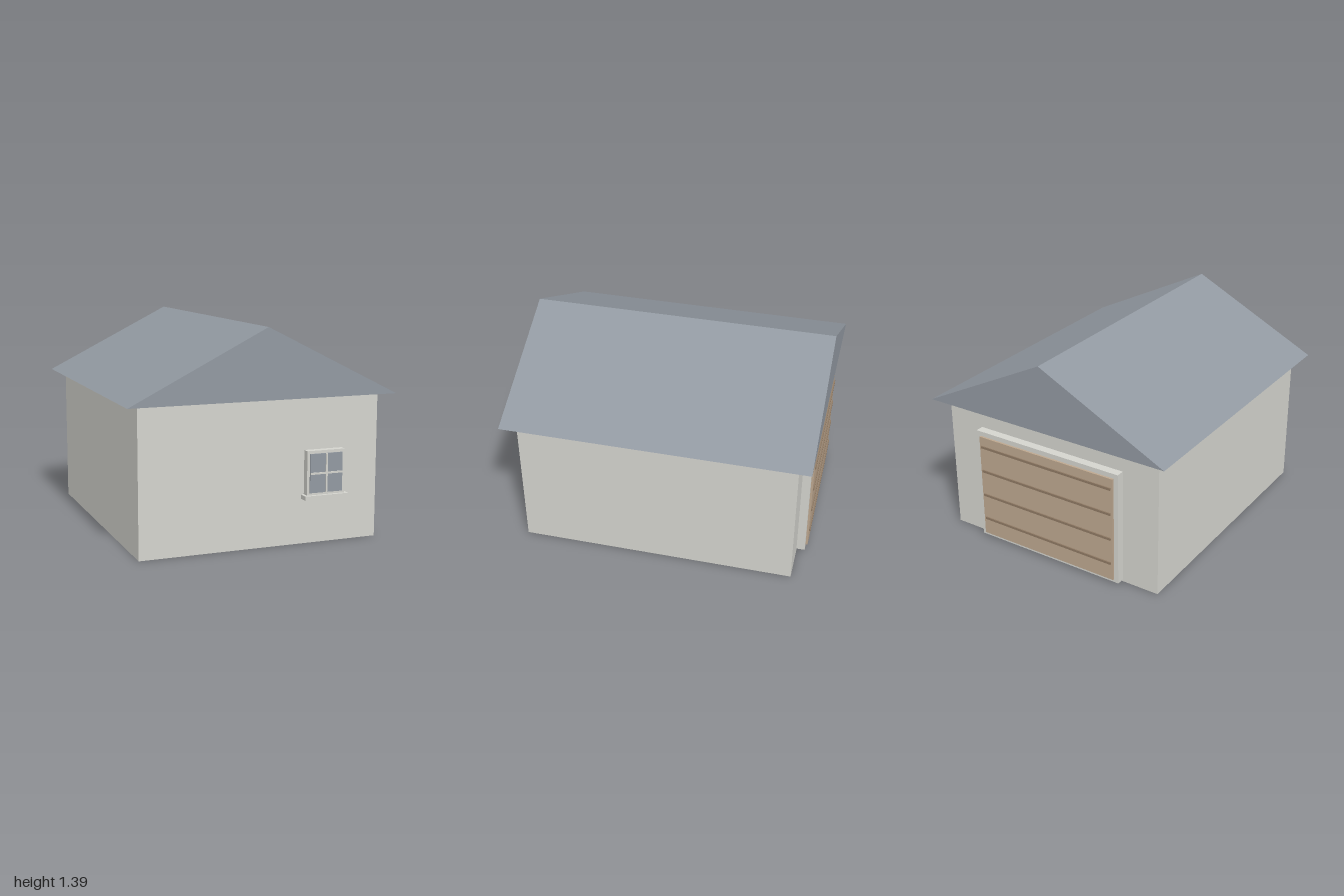
import * as THREE from 'three';

const mat = (name, color) => {
  const m = new THREE.MeshStandardMaterial({ color });
  m.name = name;
  return m;
};

export function createModel() {
  const wall = mat('pale plaster', 0xd4d4ce);
  const slate = mat('slate grey', 0x9299a1);
  const wood = mat('tan wood', 0xbda78f);
  const darkWood = mat('dark wood', 0x8f7a64);

  const model = new THREE.Group();
  model.name = 'garage';

  // Box given by its lower and upper limits on each axis
  const box = (parent, name, material, [x0, x1], [y0, y1], [z0, z1]) => {
    const mesh = new THREE.Mesh(new THREE.BoxGeometry(x1 - x0, y1 - y0, z1 - z0), material);
    mesh.position.set((x0 + x1) / 2, (y0 + y1) / 2, (z0 + z1) / 2);
    mesh.name = name;
    parent.add(mesh);
  };

  const wallZ = 0.912, eaves = 0.945;
  box(model, 'walls', wall, [-0.8, 0.8], [0, eaves], [-wallZ, wallZ]);

  // Solid gable roof overhanging all four walls
  const gable = new THREE.Shape([
    new THREE.Vector2(-0.885, eaves),
    new THREE.Vector2(0.885, eaves),
    new THREE.Vector2(0, 1.39),
  ]);
  const roof = new THREE.Mesh(
    new THREE.ExtrudeGeometry(gable, { depth: 2, bevelEnabled: false }).translate(0, 0, -1), slate);
  roof.name = 'roof';
  model.add(roof);

  // Front window
  const win = new THREE.Group();
  win.name = 'window';
  model.add(win);
  box(win, 'windowFrame', wall, [0.29, 0.55], [0.32, 0.604], [wallZ, 0.957]);
  box(win, 'windowGlass', slate, [0.308, 0.532], [0.335, 0.585], [0.957, 0.965]);
  box(win, 'verticalBar', wall, [0.414, 0.426], [0.335, 0.585], [0.965, 0.972]);
  box(win, 'horizontalBar', wall, [0.308, 0.532], [0.454, 0.466], [0.965, 0.971]);
  box(win, 'windowSill', wall, [0.27, 0.57], [0.293, 0.32], [wallZ, 0.978]);

  // Back garage door with horizontal battens
  const door = new THREE.Group();
  door.name = 'garageDoor';
  model.add(door);
  box(door, 'doorFrame', wall, [-0.545, 0.545], [0.015, 0.797], [-0.967, -wallZ]);
  box(door, 'doorPanel', wood, [-0.514, 0.514], [0.038, 0.765], [-0.981, -0.967]);
  for (const y of [0.159, 0.338, 0.517, 0.695]) {
    box(door, 'doorBatten', darkWood, [-0.5, 0.5], [y - 0.008, y + 0.008], [-0.989, -0.981]);
  }
  return model;
}
